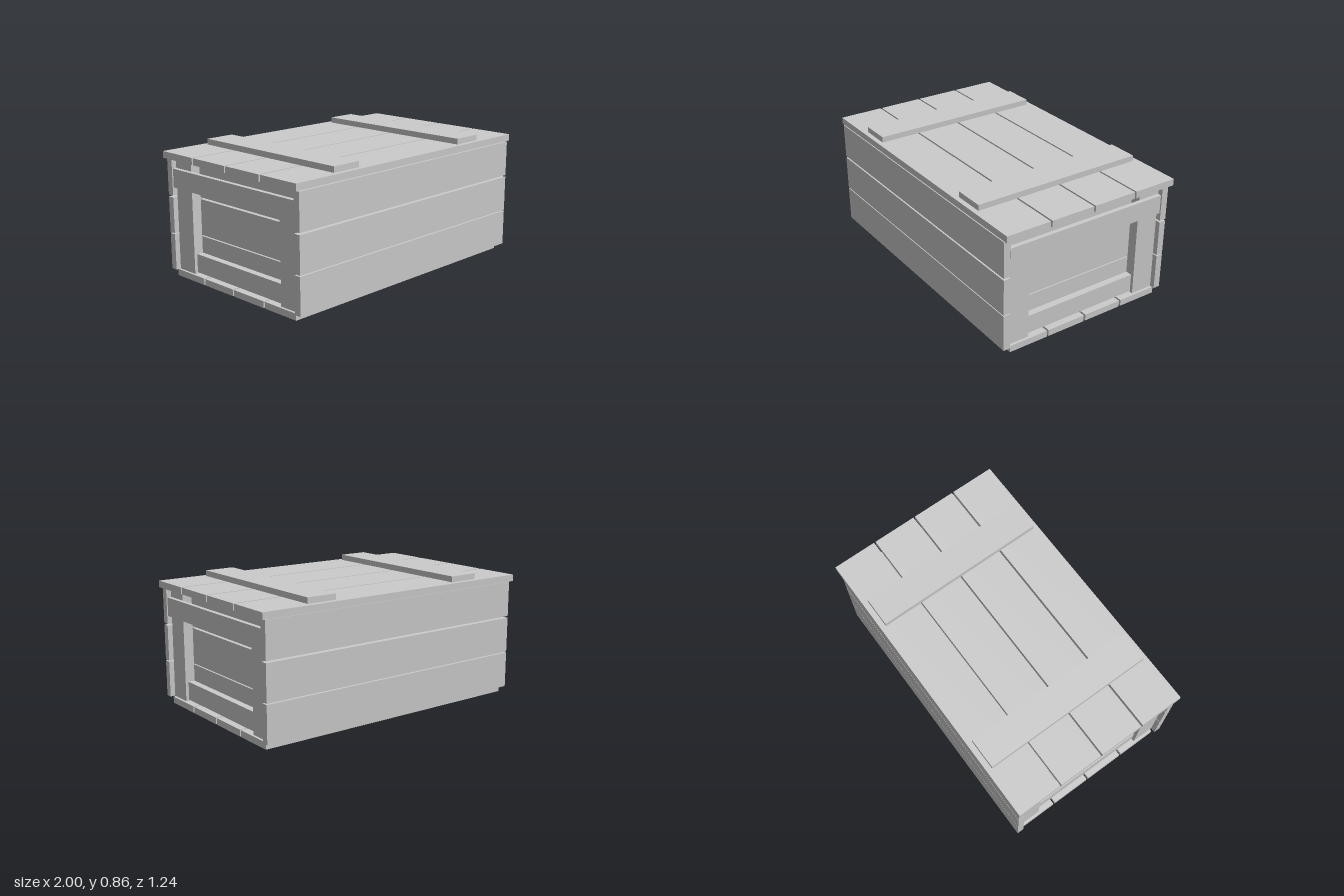
import * as THREE from 'three';

const material = new THREE.MeshStandardMaterial({ color: 0xcccccc, flatShading: true });

// A plank given by its min / max along each axis
function plank(parent, name, [x0, x1], [y0, y1], [z0, z1]) {
  const mesh = new THREE.Mesh(new THREE.BoxGeometry(x1 - x0, y1 - y0, z1 - z0), material);
  mesh.position.set((x0 + x1) / 2, (y0 + y1) / 2, (z0 + z1) / 2);
  mesh.name = name;
  parent.add(mesh);
  return mesh;
}

// Range mirrored to the negative side when s is -1
const side = (s, a, b) => (s > 0 ? [a, b] : [-b, -a]);

function group(parent, name) {
  const g = new THREE.Group();
  g.name = name;
  parent.add(g);
  return g;
}

export function createModel() {
  const crate = new THREE.Group();
  crate.name = 'crate';
  const rows = [[0.043, 0.283], [0.29, 0.527], [0.539, 0.775]];

  // Floor: four long planks
  const floor = group(crate, 'floor');
  for (let i = 0; i < 4; i++) {
    const z = -0.563 + i * 0.2847;
    plank(floor, 'floorPlank', [-0.962, 0.958], [0, 0.043], [z, z + 0.272]);
  }

  // Body sits slightly off the centre of the lid
  const body = group(crate, 'body');
  body.position.set(-0.003, 0, 0.008);
  for (const s of [1, -1]) {
    // Long walls
    const wall = group(body, s > 0 ? 'frontWall' : 'backWall');
    for (const row of rows) plank(wall, 'wallPlank', [-0.977, 0.977], row, side(s, 0.566, 0.612));

    // Recessed end panel with corner posts and rails
    const end = group(body, s > 0 ? 'leftEnd' : 'rightEnd');
    for (const row of rows) plank(end, 'endPlank', side(s, 0.82, 0.877), row, [-0.411, 0.411]);
    for (const t of [1, -1]) {
      plank(end, 'cornerPost', side(s, 0.805, 0.943), [0.043, 0.78], side(t, 0.411, 0.566));
    }
    plank(end, 'lowerRail', side(s, 0.877, 0.922), [0.05, 0.172], [-0.411, 0.411]);
    plank(end, 'upperRail', side(s, 0.943, 0.972), [0.593, 0.716], [-0.562, 0.562]);
  }

  // Lid: four planks held by two battens
  const lid = group(crate, 'lid');
  for (let i = 0; i < 4; i++) {
    const z = -0.618 + i * 0.312;
    plank(lid, 'lidPlank', [-1, 1], [0.78, 0.824], [z, z + 0.3]);
  }
  for (const x of [-0.572, 0.567]) {
    plank(lid, 'lidBatten', [x - 0.102, x + 0.102], [0.824, 0.862], [-0.581, 0.585]);
  }
  return crate;
}
